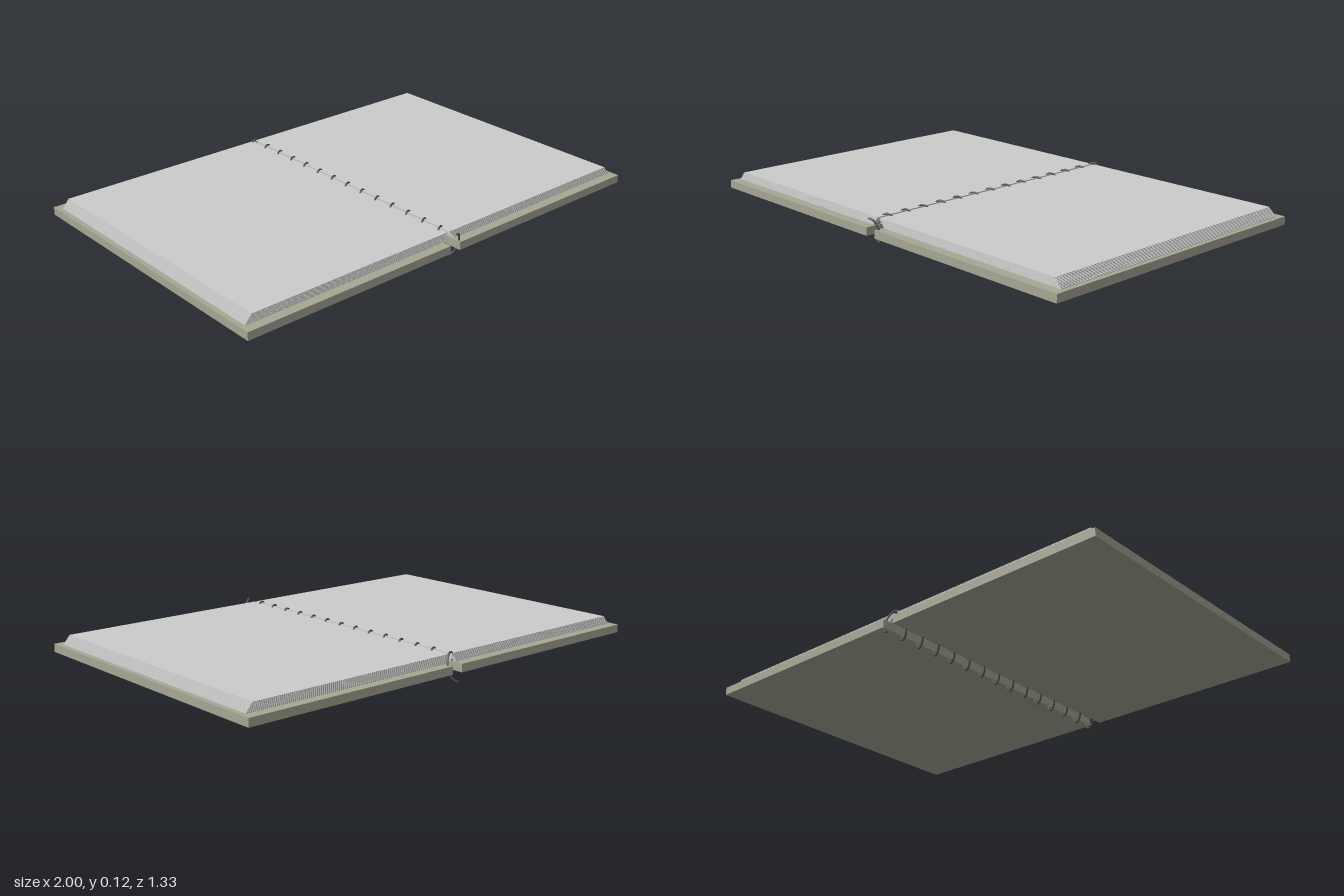
import * as THREE from 'three';

const COVER = new THREE.MeshStandardMaterial({ color: 0xa7a795 });
const PAPER = new THREE.MeshStandardMaterial({ color: 0xcccccc });
const WIRE = new THREE.MeshStandardMaterial({ color: 0x555555 });

// Box given by its x, y and z limits
function slab(name, material, x0, x1, y0, y1, halfDepth) {
  const mesh = new THREE.Mesh(new THREE.BoxGeometry(x1 - x0, y1 - y0, 2 * halfDepth), material);
  mesh.position.set((x0 + x1) / 2, (y0 + y1) / 2, 0);
  mesh.name = name;
  return mesh;
}

// Helix along z, starting on top at the front and ending at the bottom at the back
class Spiral extends THREE.Curve {
  getPoint(t, target = new THREE.Vector3()) {
    const a = t * 14.5 * 2 * Math.PI;
    return target.set(0.034 * Math.sin(a), 0.058 + 0.054 * Math.cos(a), 0.66 - 1.32 * t);
  }
}

export function createModel() {
  const notebook = new THREE.Group();
  notebook.name = 'openNotebook';

  for (const side of [-1, 1]) {
    const half = new THREE.Group();
    half.name = side < 0 ? 'rightHalf' : 'leftHalf';

    const cover = slab('cover', COVER, 0.025, 1, 0.034, 0.068, 0.655);
    cover.position.x *= side;
    half.add(cover);

    // Stack of sheets, each slipping a little further towards the spine
    const sheets = 10;
    for (let i = 0; i < sheets; i++) {
      const shift = 0.028 * i / (sheets - 1);
      const y = 0.069 + i * 0.0037;
      const sheet = slab('sheet', PAPER, 0.034 - shift, 0.981 - shift, y, y + 0.0027, 0.615);
      sheet.position.x *= side;
      half.add(sheet);
    }
    notebook.add(half);
  }

  // Spiral binding wire with closed ends
  const path = new Spiral();
  const wire = new THREE.Group();
  wire.name = 'spiralBinding';
  const coil = new THREE.Mesh(new THREE.TubeGeometry(path, 464, 0.004, 8), WIRE);
  coil.name = 'coil';
  wire.add(coil);
  for (const t of [0, 1]) {
    const tip = new THREE.Mesh(new THREE.SphereGeometry(0.004, 8, 6), WIRE);
    tip.position.copy(path.getPoint(t));
    tip.name = 'wireTip';
    wire.add(tip);
  }
  notebook.add(wire);

  return notebook;
}
